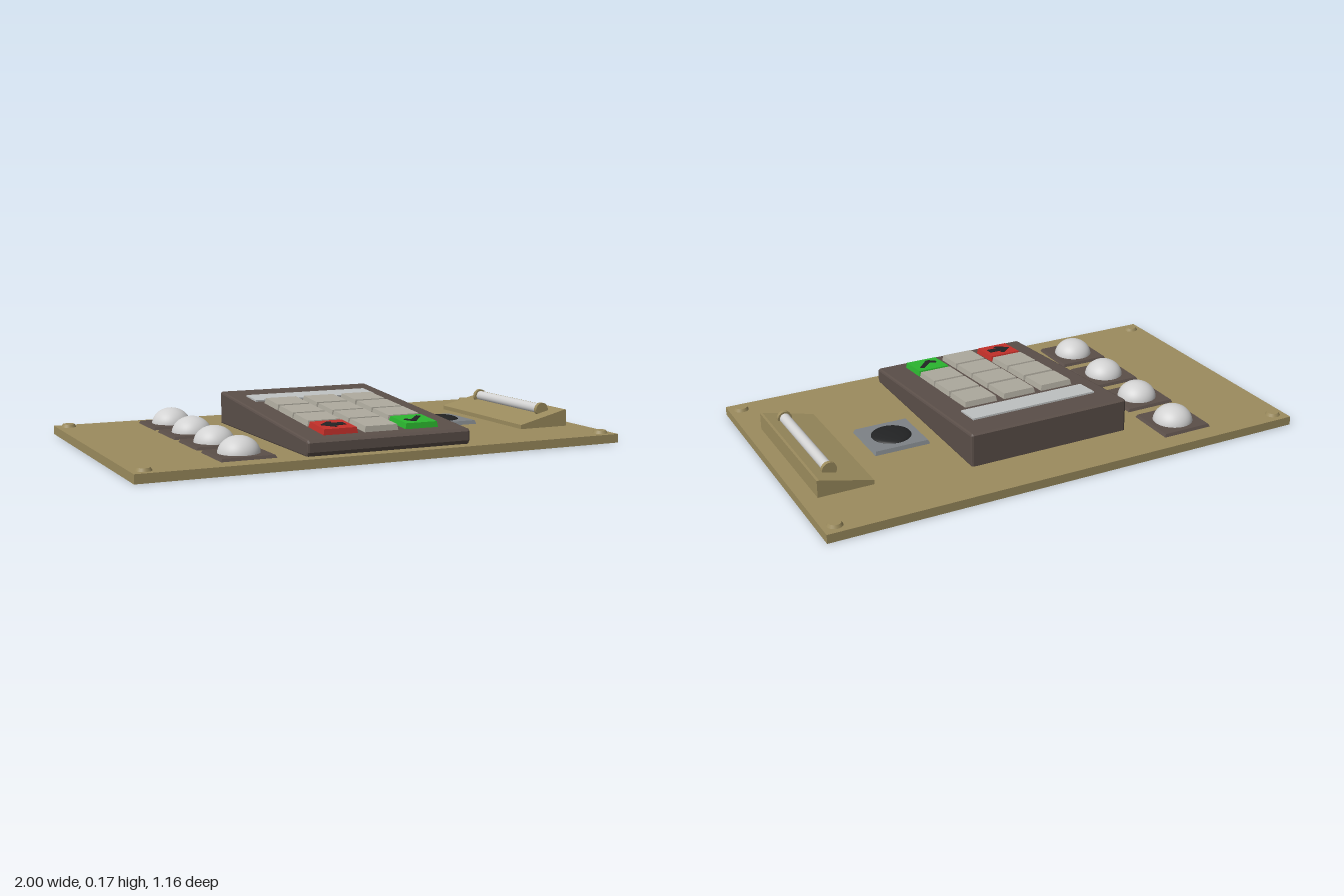
import * as THREE from 'three';

const mat = (name, color) => new THREE.MeshStandardMaterial({ name, color });

export function createModel() {
  const root = new THREE.Group();
  root.name = 'controlPanel';
  const brass = mat('brass', 0x9c8c5e);
  const brown = mat('darkBrown', 0x5b4f49);
  const keyGrey = mat('keyGrey', 0xaeaa9e);
  const red = mat('red', 0xc4302a);
  const green = mat('green', 0x2bb62f);
  const black = mat('black', 0x222324);
  const white = mat('lampWhite', 0xd2d2d2);
  const steel = mat('steelGrey', 0x7d8286);
  const screen = mat('screenGrey', 0xbfc2c2);

  const add = (parent, name, geo, material, x = 0, y = 0, z = 0) => {
    const m = new THREE.Mesh(geo, material);
    m.name = name;
    m.position.set(x, y, z);
    parent.add(m);
    return m;
  };

  // Box standing on y = 0 whose top is drawn in by `inset` on every side
  const taperedBox = (w, h, d, inset) => {
    let g = new THREE.BoxGeometry(w, h, d).translate(0, h / 2, 0);
    const p = g.attributes.position;
    for (let i = 0; i < p.count; i++) {
      if (p.getY(i) < h / 2) continue;
      p.setX(i, p.getX(i) - Math.sign(p.getX(i)) * inset);
      p.setZ(i, p.getZ(i) - Math.sign(p.getZ(i)) * inset);
    }
    g = g.toNonIndexed();
    g.computeVertexNormals();
    return g;
  };

  // Profile extruded about its middle, with optional chamfered edges
  const prism = (points, width, bevel = 0) => {
    const shape = new THREE.Shape(points.map(([x, y]) => new THREE.Vector2(x, y)));
    return new THREE.ExtrudeGeometry(shape, {
      depth: width - 2 * bevel, bevelEnabled: bevel > 0, bevelThickness: bevel,
      bevelSize: bevel, bevelOffset: -bevel, bevelSegments: 2,
    }).translate(0, 0, bevel - width / 2);
  };

  const dome = (r, h) => new THREE.SphereGeometry(r, 40, 16, 0, Math.PI * 2, 0, Math.PI / 2).scale(1, h / r, 1);

  // Base board with a bolt in each corner
  const top = 0.035;
  add(root, 'baseBoard', new THREE.BoxGeometry(2, top, 1.164), brass, 0, top / 2, 0);
  for (const x of [-0.95, 0.95]) {
    for (const z of [-0.53, 0.53]) {
      add(root, 'bolt', new THREE.CylinderGeometry(0.024, 0.03, 0.012, 24), brass, x, top + 0.006, z);
    }
  }

  // Row of dome lamps
  for (const z of [-0.396, -0.133, 0.13, 0.392]) {
    const lamp = new THREE.Group();
    lamp.name = 'domeLamp';
    lamp.position.set(-0.55, top, z);
    root.add(lamp);
    add(lamp, 'lampPlate', taperedBox(0.215, 0.011, 0.215, 0.006), brown);
    add(lamp, 'lampDome', dome(0.08, 0.068), white, 0, 0.006, 0);
  }

  // Sloping keypad housing
  const housing = prism([
    [-0.37, 0.03], [0.525, 0.03], [0.537, 0.05], [0.537, 0.085],
    [0.525, 0.095], [-0.362, 0.168], [-0.37, 0.162],
  ], 0.68, 0.009).rotateY(-Math.PI / 2);
  add(root, 'keypadHousing', housing, brown);

  // Everything on the slope is placed in a tilted group
  const face = new THREE.Group();
  face.name = 'keypadFace';
  face.position.set(0, 0.1313, 0.083);
  face.rotation.x = Math.atan(0.073 / 0.887);
  root.add(face);
  add(face, 'display', new THREE.BoxGeometry(0.54, 0.008, 0.106), screen, -0.003, 0.003, -0.27);

  // Symbols cut from thin sheet
  const symbol = (points) => prism(points, 0.005).rotateX(-Math.PI / 2);
  const arrow = symbol([
    [-0.053, 0], [-0.008, -0.042], [0.006, -0.032], [-0.004, -0.018], [0.046, -0.018],
    [0.046, 0.018], [-0.004, 0.018], [0.006, 0.032], [-0.008, 0.042],
  ]);
  const check = symbol([
    [-0.048, -0.01], [-0.022, -0.04], [-0.01, -0.04], [0.046, 0.028],
    [0.034, 0.042], [-0.018, -0.014], [-0.036, 0.004],
  ]);

  // Key grid, with red and green keys at the ends of the front row
  const keyX = [-0.178, -0.009, 0.163];
  const keyZ = [-0.033, 0.115, 0.26, 0.406];
  keyZ.forEach((z, row) => keyX.forEach((x, col) => {
    const special = row === 3 && col !== 1;
    const material = !special ? keyGrey : col === 0 ? red : green;
    const key = add(face, special ? (col === 0 ? 'cancelKey' : 'enterKey') : 'key',
      taperedBox(0.141, 0.022, 0.138, 0.004), material, x, 0, z - 0.083);
    if (special) add(key, col === 0 ? 'arrowSymbol' : 'checkSymbol', col === 0 ? arrow : check, black, 0, 0.0215, 0);
  }));

  // Round black sensor on a steel plate
  add(root, 'sensorPlate', taperedBox(0.23, 0.015, 0.23, 0.006), steel, 0.51, top, -0.002);
  add(root, 'sensorDome', dome(0.08, 0.016), black, 0.51, 0.049, -0.002);

  // Wedge stand carrying a lamp tube
  const wedge = prism([[0.715, 0.03], [0.935, 0.03], [0.935, 0.103], [0.925, 0.103], [0.715, 0.052]], 0.638);
  add(root, 'tubeStand', wedge, brass, 0, 0, -0.003);
  const rod = (r, l) => new THREE.CylinderGeometry(r, r, l, 32).rotateX(Math.PI / 2);
  add(root, 'lampTube', rod(0.021, 0.48), white, 0.86, 0.099, -0.002);
  for (const z of [-0.246, 0.242]) {
    add(root, 'tubeHolder', rod(0.029, 0.016), brass, 0.86, 0.098, z);
  }

  return root;
}
